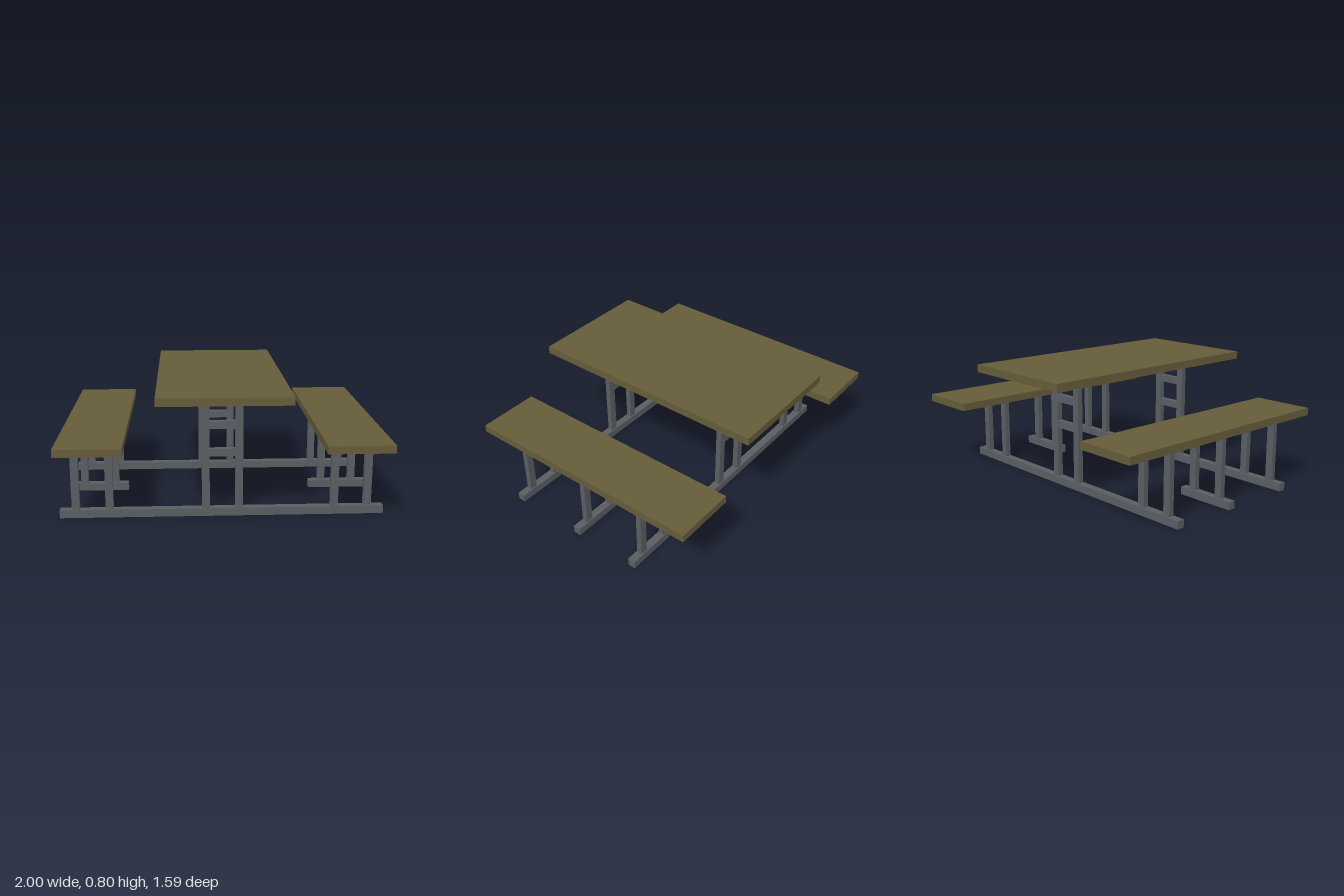
import * as THREE from 'three';

// Picnic table with two benches on a welded metal frame.
export function createModel() {
  const model = new THREE.Group();
  model.name = 'picnicTable';

  const wood = new THREE.MeshStandardMaterial({ color: 0x665c3a });
  wood.name = 'brown wood';
  const metal = new THREE.MeshStandardMaterial({ color: 0x5a5e62 });
  metal.name = 'grey metal';

  // Box given by its x and y ranges, centre z and depth
  function addBox(parent, name, material, [x0, x1], [y0, y1], z, depth) {
    const mesh = new THREE.Mesh(new THREE.BoxGeometry(x1 - x0, y1 - y0, depth), material);
    mesh.position.set((x0 + x1) / 2, (y0 + y1) / 2, z);
    mesh.name = name;
    parent.add(mesh);
  }

  const railTop = 0.05, seatBottom = 0.455, tableBottom = 0.747;
  const postWidth = 0.048, postDepth = 0.035;
  const frameX = -0.004; // the frame sits slightly off centre

  // Table top and bench seats
  addBox(model, 'tableTop', wood, [-0.4, 0.4], [tableBottom, 0.796], -0.002, 1.587);
  addBox(model, 'rightSeat', wood, [-0.994, -0.594], [seatBottom, 0.503], 0.002, 1.587);
  addBox(model, 'leftSeat', wood, [0.598, 0.998], [seatBottom, 0.503], 0.002, 1.587);

  function addPost(parent, name, x, top, z) {
    addBox(parent, name, metal, [x - postWidth / 2, x + postWidth / 2], [railTop, top], z, postDepth);
  }

  // Two seat posts on each side
  function addSeatPosts(frame, z) {
    for (const side of [-1, 1]) {
      for (const x of [0.692, 0.898]) addPost(frame, 'seatPost', frameX + side * x, seatBottom, z);
    }
  }

  // Full-width frames carry the benches and the table
  for (const z of [0.547, -0.399]) {
    const frame = new THREE.Group();
    frame.name = 'mainFrame';
    addBox(frame, 'floorRail', metal, [-1, 0.994], [0, railTop], z, 0.05);
    addSeatPosts(frame, z);
    for (const side of [-1, 1]) addPost(frame, 'tablePost', frameX + side * 0.102, tableBottom, z);
    for (const y of [0.38, 0.552]) {
      addBox(frame, 'crossBar', metal, [frameX - 0.078, frameX + 0.078], [y, y + 0.048], z, postDepth);
    }
    model.add(frame);
  }

  // Short middle frames carry the benches only
  const middle = new THREE.Group();
  middle.name = 'middleFrame';
  addBox(middle, 'rightShortRail', metal, [-1, -0.61], [0, railTop], 0.048, 0.05);
  addBox(middle, 'leftShortRail', metal, [0.604, 0.994], [0, railTop], 0.048, 0.05);
  addSeatPosts(middle, 0.048);
  model.add(middle);

  return model;
}
